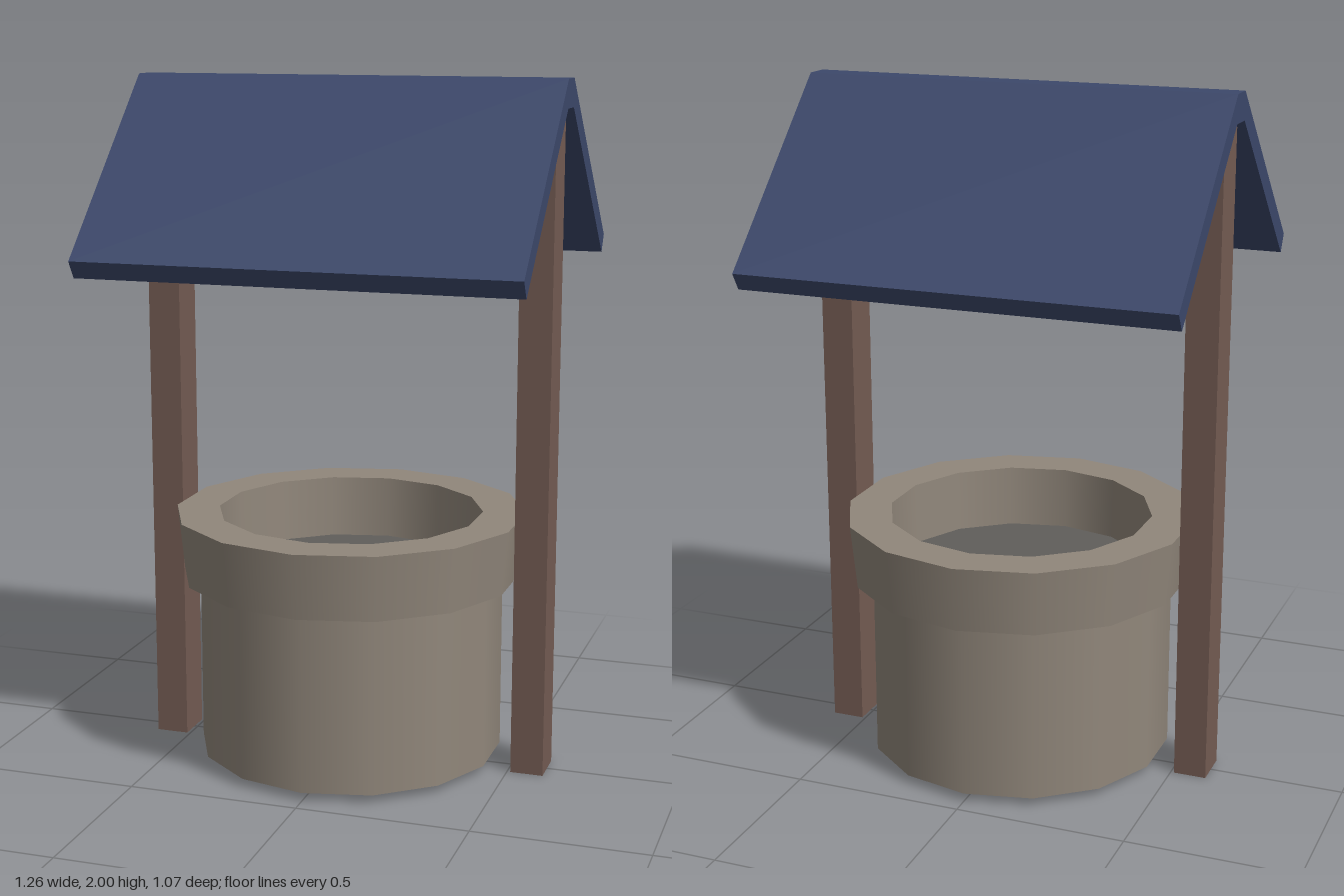
import * as THREE from 'three';
import { mergeGeometries } from 'three/addons/utils/BufferGeometryUtils.js';

const SIDES = 14;

function material(name, color) {
  const m = new THREE.MeshStandardMaterial({ color });
  m.name = name;
  return m;
}

// Revolves a profile round y, smooth around but with a hard edge at each point
function turned(profile) {
  const bands = [];
  for (let i = 0; i < profile.length - 1; i++) {
    const pair = [profile[i], profile[i + 1]].map(([r, y]) => new THREE.Vector2(r, y));
    bands.push(new THREE.LatheGeometry(pair, SIDES));
  }
  return mergeGeometries(bands);
}

export function createModel() {
  const stone = material('stone', 0x91877b);
  const wood = material('wood', 0x745c53);
  const roofBlue = material('roof blue', 0x3c486b);
  const darkGrey = material('dark grey', 0x605e5b);

  const model = new THREE.Group();
  model.name = 'well';
  const add = (name, geometry, mat) => {
    const mesh = new THREE.Mesh(geometry, mat);
    mesh.name = name;
    model.add(mesh);
    return mesh;
  };

  // Stone shaft with a closed base
  add('shaft', turned([[0, 0.025], [0.45, 0.025], [0.45, 0.55]]), stone);

  // Flared, overhanging rim with a round opening
  add('rim', turned([[0.385, 0.55], [0.498, 0.55], [0.517, 0.74], [0.39, 0.74], [0.385, 0.55]]), stone);

  // Surface inside the opening
  add('innerSurface', turned([[0.39, 0.555], [0, 0.555]]), darkGrey);

  // Posts on either side
  for (const side of [-1, 1]) {
    const post = add(side > 0 ? 'leftPost' : 'rightPost', new THREE.BoxGeometry(0.096, 1.925, 0.12), wood);
    post.position.set(side * 0.558, 1.925 / 2, 0);
  }

  // Gabled roof: a folded slab with a flat ridge, extruded along x
  const half = [[0.037, 2], [0.535, 1.515], [0.505, 1.465], [0.037, 1.92]];
  const outline = [...half, ...half.map(([z, y]) => [-z, y]).reverse()];
  const roofShape = new THREE.Shape(outline.map(([z, y]) => new THREE.Vector2(z, y)));
  const length = 1.264;
  const roof = new THREE.ExtrudeGeometry(roofShape, { depth: length, bevelEnabled: false });
  roof.translate(0, 0, -length / 2).rotateY(Math.PI / 2);
  add('roof', roof, roofBlue);

  return model;
}
